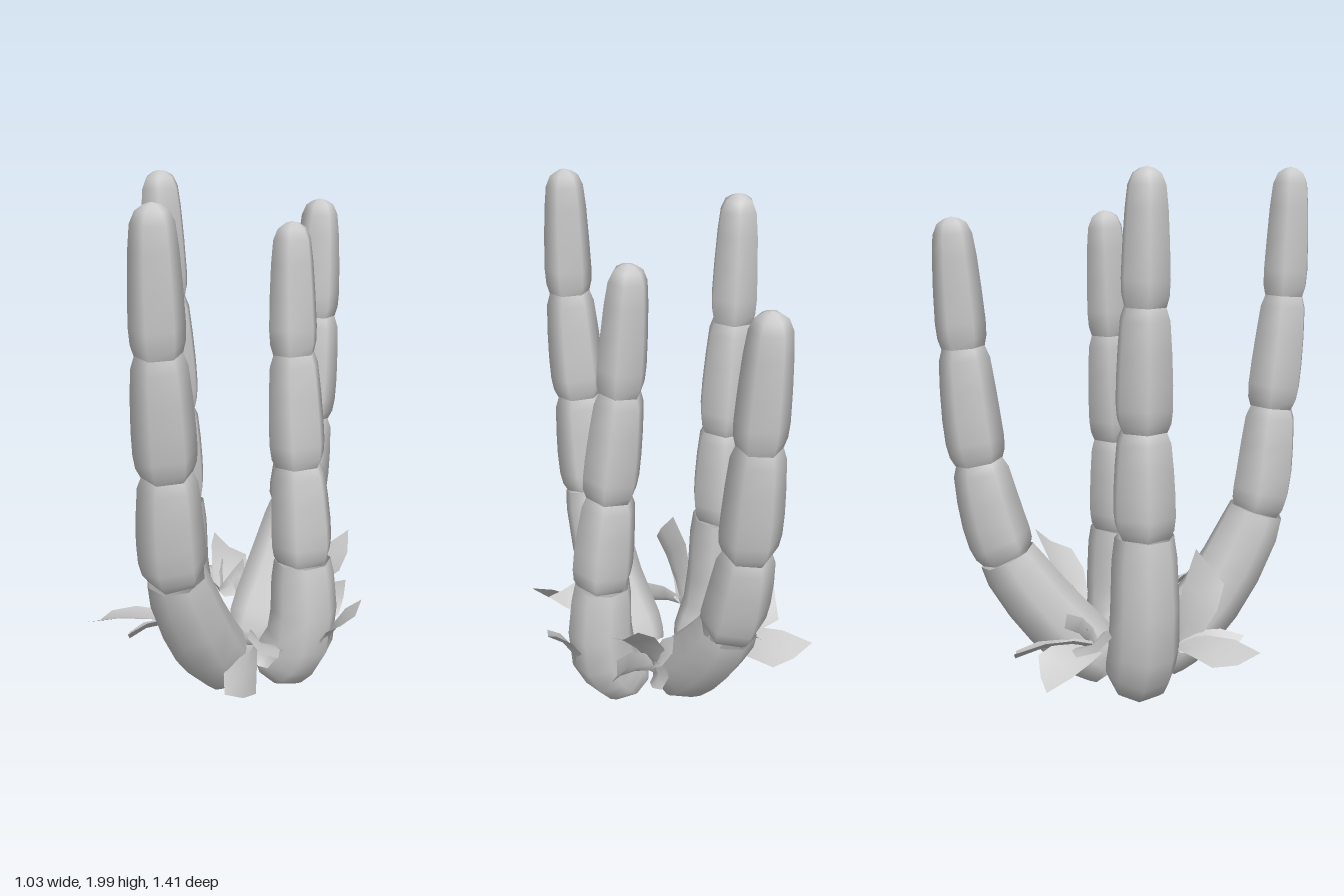
import * as THREE from 'three';

const V = (a) => new THREE.Vector3(...a);
const material = new THREE.MeshStandardMaterial({ color: 0xcccccc, side: THREE.DoubleSide });

// Skin a grid of vertices: rows x cols, optionally wrapped around.
function gridGeometry(points, cols, wrap) {
  const index = [];
  const rows = points.length / cols;
  for (let r = 0; r < rows - 1; r++) {
    for (let c = 0; c < (wrap ? cols : cols - 1); c++) {
      const d = (c + 1) % cols;
      const a = r * cols + c, b = r * cols + d, e = a + cols, f = b + cols;
      index.push(a, b, f, a, f, e);
    }
  }
  const g = new THREE.BufferGeometry().setFromPoints(points);
  g.setIndex(index);
  g.computeVertexNormals();
  return g;
}

// Profiles: [position along the segment, radius factor]
const basePart = [[0, 0.72], [0.06, 0.84], [0.15, 0.95], [0.3, 1], [0.5, 1], [0.7, 0.97], [0.9, 0.91], [1, 0.82]];
const midPart = [[0, 0.82], [0.08, 0.95], [0.2, 1], [0.4, 0.99], [0.65, 0.94], [0.9, 0.86], [1, 0.72]];
const tipPart = [[0, 0.86], [0.08, 0.97], [0.2, 1], [0.45, 0.95], [0.7, 0.87], [0.87, 0.77], [0.95, 0.58], [0.985, 0.3], [1, 0.01]];

// Each segment spans a range of the path's control points.
const segments = [
  { name: 'baseSegment', from: 0, to: 2, radius: 0.133, profile: basePart, sides: 8 },
  { name: 'lowerSegment', from: 2, to: 3, radius: 0.121, profile: midPart, sides: 6 },
  { name: 'upperSegment', from: 3, to: 4, radius: 0.109, profile: midPart, sides: 6 },
  { name: 'tipSegment', from: 4, to: 5, radius: 0.092, profile: tipPart, sides: 6 },
];

// A curved, jointed stalk; one corner of every ring faces the lean direction.
function stalk(name, lean, path) {
  const group = new THREE.Group();
  group.name = name;
  const curve = new THREE.CatmullRomCurve3(path.map(V));
  const out = V(lean).normalize();
  for (const s of segments) {
    const pts = [];
    for (const [t, k] of s.profile) {
      const u = (s.from + (s.to - s.from) * t) / 5;
      const p = curve.getPoint(u), tan = curve.getTangent(u);
      const side = new THREE.Vector3().crossVectors(out, tan).normalize();
      const front = new THREE.Vector3().crossVectors(tan, side);
      for (let i = 0; i < s.sides; i++) {
        const a = (-i / s.sides) * Math.PI * 2, r = s.radius * k;
        pts.push(p.clone().addScaledVector(front, r * Math.cos(a)).addScaledVector(side, r * Math.sin(a)));
      }
    }
    const mesh = new THREE.Mesh(gridGeometry(pts, s.sides, true), material);
    mesh.name = s.name;
    group.add(mesh);
  }
  return group;
}

// A broad, folded leaf with a slanted, cut-off end, rolled about its own axis.
function leaf(foot, tip, roll) {
  const along = tip.clone().sub(foot);
  const length = along.length();
  const across = along.clone().cross(V([0, 1, 0])).normalize();
  across.applyAxisAngle(along.clone().normalize(), roll);
  const normal = across.clone().cross(along).normalize();
  const halfWidth = 0.035 + 0.13 * length;
  const pts = [];
  for (let row = 0; row < 4; row++) {
    const t = row / 3;
    const width = halfWidth * (0.4 + 0.6 * Math.sin(t * 2));
    const arch = 0.03 * Math.sin(t * Math.PI);
    for (const s of [-1, 0, 1]) {
      // One edge reaches the tip, the middle and the other edge stop short.
      const reach = t * (0.88 - 0.12 * s);
      const fold = 0.02 * Math.abs(s);
      pts.push(foot.clone().addScaledVector(along, reach).addScaledVector(across, s * width).addScaledVector(normal, arch + fold));
    }
  }
  const mesh = new THREE.Mesh(gridGeometry(pts, 3, false), material);
  mesh.name = 'leaf';
  return mesh;
}

// A tuft of leaves from one foot; each leaf is [tip x, y, z, roll].
function tuft(name, foot, leaves) {
  const group = new THREE.Group();
  group.name = name;
  for (const [x, y, z, roll] of leaves) group.add(leaf(V(foot), V([x, y, z]), roll));
  return group;
}

export function createModel() {
  const model = new THREE.Group();
  model.name = 'jointedStalks';

  // Stalks: lean direction, then base, bend, three joints and tip
  model.add(stalk('frontStalk', [0, 0, 1],
    [[0.015, 0.085, 0.115], [0, 0.32, 0.335], [-0.04, 0.68, 0.51], [-0.04, 1.09, 0.565], [-0.04, 1.52, 0.607], [-0.045, 2, 0.62]]));
  model.add(stalk('backStalk', [0.2, 0, -1],
    [[0.03, 0.085, -0.09], [0.065, 0.28, -0.28], [0.1, 0.55, -0.465], [0.118, 0.92, -0.56], [0.13, 1.35, -0.605], [0.13, 1.82, -0.635]]));
  model.add(stalk('leftStalk', [1, 0, 0.4],
    [[0.175, 0.06, 0.02], [0.285, 0.24, 0.045], [0.285, 0.57, 0.04], [0.255, 0.95, 0.02], [0.22, 1.37, -0.01], [0.195, 1.84, -0.04]]));
  model.add(stalk('rightStalk', [-1, 0, -0.2],
    [[-0.15, 0.075, -0.03], [-0.25, 0.26, -0.035], [-0.265, 0.69, -0.04], [-0.272, 1.08, -0.045], [-0.295, 1.52, -0.05], [-0.31, 1.99, -0.05]]));

  // Leaf tufts in the gaps between the stalks
  model.add(tuft('backRightLeaves', [-0.14, 0.22, -0.19],
    [[-0.23, 0.27, -0.56, 0.3], [-0.29, 0.2, -0.47, -0.6], [-0.42, 0.33, -0.27, 0.5], [-0.05, 0.3, -0.3, 1.2]]));
  model.add(tuft('frontRightLeaves', [-0.19, 0.21, 0.11],
    [[-0.54, 0.25, 0.25, 0.2], [-0.36, 0.23, 0.31, 0.5], [-0.2, 0.57, 0.26, 1.57], [-0.04, 0.22, 0.29, 1.2]]));
  model.add(tuft('frontLeftLeaves', [0.15, 0.25, 0.2],
    [[0.22, 0.22, 0.55, 0.6], [0.24, 0.35, 0.4, -0.6], [-0.1, 0.24, 0.26, 1.3], [0.26, 0.22, 0.22, 1.2]]));
  model.add(tuft('backLeftLeaves', [0.18, 0.22, -0.17],
    [[0.43, 0.53, -0.22, 0.3], [0.43, 0.32, -0.18, 1.2], [0.24, 0.28, -0.3, 1.4], [0.2, 0.38, -0.28, 0.8], [-0.1, 0.22, -0.2, 1.4]]));
  model.add(tuft('outerLeftLeaf', [0.4, 0.2, 0.07], [[0.53, 0.42, 0.1, 0.1]]));

  return model;
}
